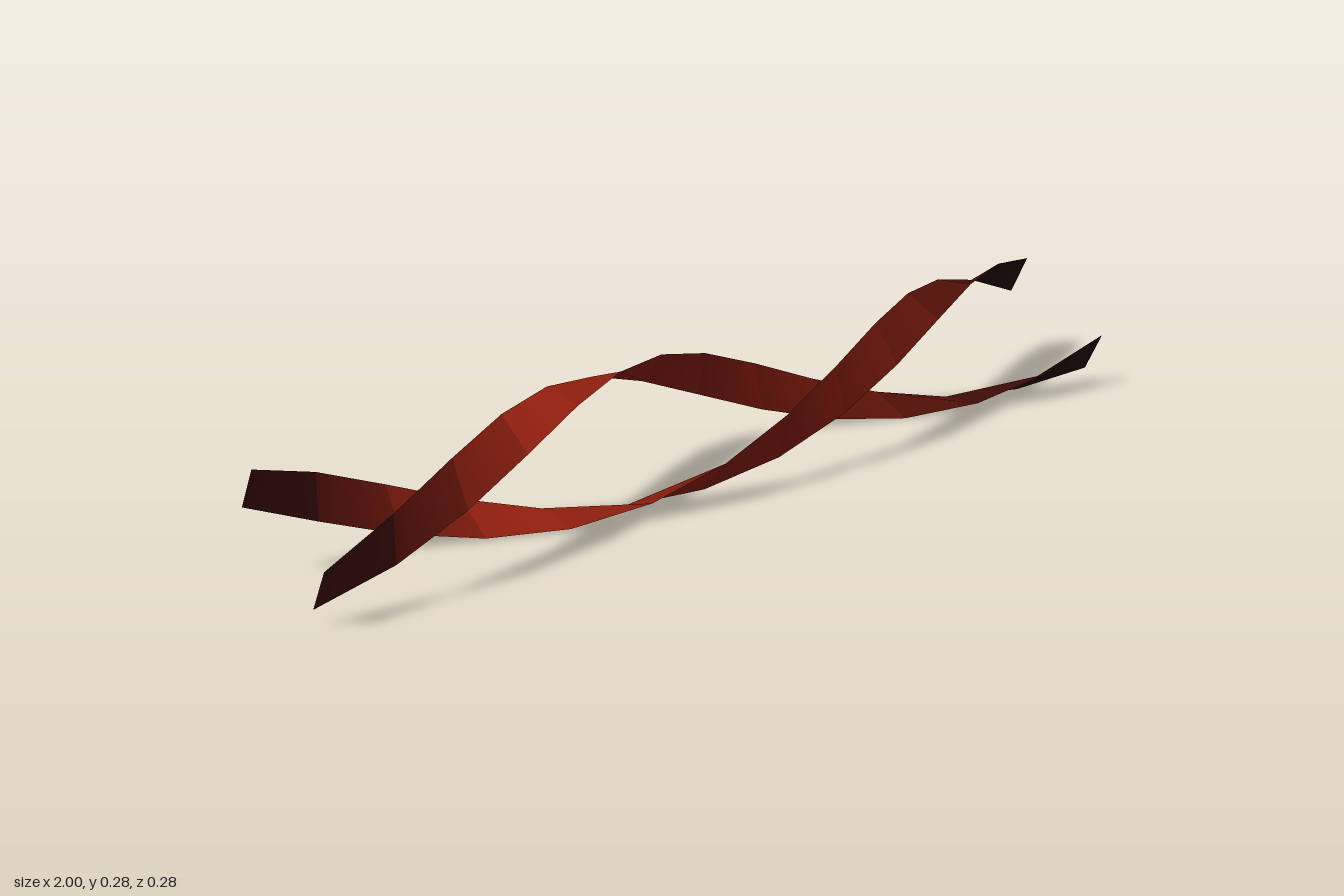
import * as THREE from 'three';

const RADIUS = 0.142;       // helix radius, also the height of its axis
const HALF_WIDTH = 0.36;    // half the ribbon width, as an angle around the axis
const SEGMENTS = 13;        // one full turn over the length

const BLACK = new THREE.Color(0x050706);
const RED = new THREE.Color(0x98200f);

// Fades from black at both ends to red left of the middle
function colorAt(x) {
  const k = x < -0.45 ? (x + 1) / 0.55 : (1 - x) / 1.45;
  return BLACK.clone().lerp(RED, THREE.MathUtils.clamp(k, 0, 1));
}

// One flat piece of ribbon between x0 and x1, its face turned away from the axis
function ribbonSegment(x0, x1, phase) {
  const positions = [], normals = [];
  for (const x of [x0, x1]) {
    const t = Math.PI * (x + 0.85) + phase;
    for (const a of [t - HALF_WIDTH, t + HALF_WIDTH]) {
      positions.push(x, RADIUS + RADIUS * Math.sin(a), RADIUS * Math.cos(a));
      normals.push(0, Math.sin(t), Math.cos(t));
    }
  }
  const geometry = new THREE.BufferGeometry();
  geometry.setAttribute('position', new THREE.Float32BufferAttribute(positions, 3));
  geometry.setAttribute('normal', new THREE.Float32BufferAttribute(normals, 3));
  geometry.setIndex([0, 2, 3, 0, 3, 1]);
  const material = new THREE.MeshStandardMaterial({
    color: colorAt((x0 + x1) / 2),
    side: THREE.DoubleSide,
  });
  return new THREE.Mesh(geometry, material);
}

function ribbon(name, phase) {
  const group = new THREE.Group();
  group.name = name;
  for (let i = 0; i < SEGMENTS; i++) {
    const segment = ribbonSegment(-1 + (2 * i) / SEGMENTS, -1 + (2 * (i + 1)) / SEGMENTS, phase);
    segment.name = `${name}Segment${i + 1}`;
    group.add(segment);
  }
  return group;
}

export function createModel() {
  const model = new THREE.Group();
  model.name = 'doubleHelix';
  // Two ribbons, half a turn apart
  model.add(ribbon('firstRibbon', 0), ribbon('secondRibbon', Math.PI));
  return model;
}
